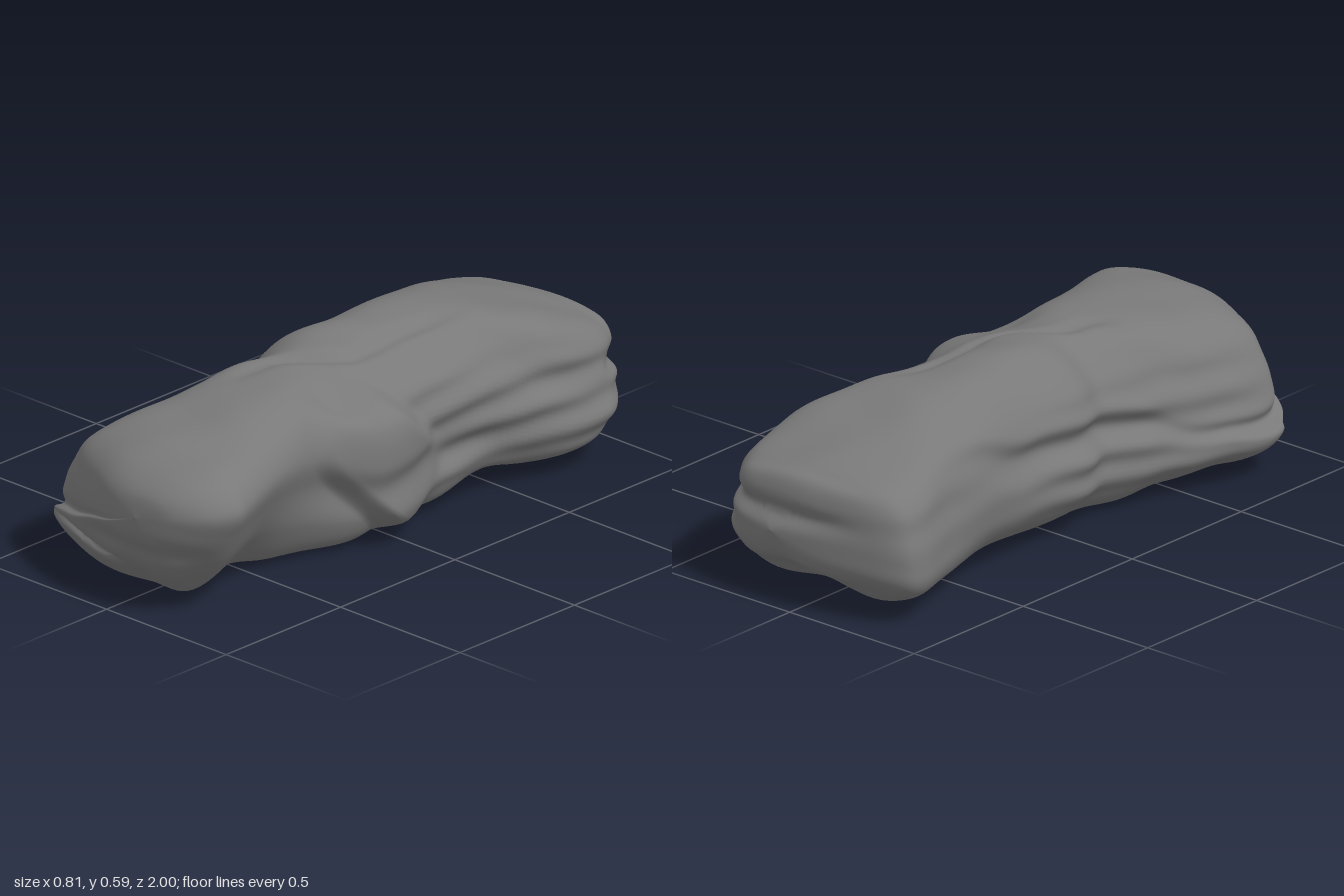
import * as THREE from 'three';

// Stations from front to back: z, lower x limit, upper x limit, bottom y, top y
const stations = [
  [1.0, 0.12, 0.12, 0.34, 0.34],
  [0.985, -0.02, 0.25, 0.24, 0.41],
  [0.93, -0.2, 0.35, 0.15, 0.46],
  [0.85, -0.37, 0.4, 0.07, 0.495],
  [0.77, -0.41, 0.385, 0.02, 0.515],
  [0.6, -0.385, 0.33, 0.03, 0.53],
  [0.43, -0.32, 0.285, 0.015, 0.565],
  [0.3, -0.3, 0.265, 0.01, 0.583],
  [0.16, -0.265, 0.28, 0.02, 0.568],
  [0.02, -0.305, 0.28, 0.04, 0.587],
  [-0.2, -0.295, 0.27, 0.04, 0.585],
  [-0.45, -0.325, 0.3, 0.05, 0.58],
  [-0.65, -0.35, 0.345, 0.04, 0.53],
  [-0.82, -0.39, 0.35, 0.05, 0.475],
  [-0.91, -0.34, 0.31, 0.11, 0.445],
  [-0.975, -0.12, 0.23, 0.16, 0.41],
  [-1.0, 0.08, 0.08, 0.25, 0.25],
];

// Cross-sections in unit space, counter-clockwise from the +x side
const sections = {
  front: [[1, .75], [.91, .93], [.72, 1], [.4, .98], [.2, .86], [.11, .65], [.06, .44], [.07, .34],
    [0, .25], [.1, .1], [.26, 0], [.5, 0], [.68, .03], [.85, .28], [.95, .53]],
  middle: [[1, .52], [.97, .75], [.8, .9], [.64, .97], [.38, 1], [.18, .9], [.03, .7], [.06, .55],
    [0, .36], [.06, .15], [.25, 0], [.55, 0], [.85, 0], [.97, .16], [.95, .36]],
  back: [[1, .4], [.96, .58], [.95, .78], [.85, .95], [.58, 1], [.32, .99], [.14, .92], [.05, .78],
    [.02, .58], [0, .34], [.04, .12], [.23, 0], [.5, .03], [.8, 0], [.96, .14]],
};

// Catmull-Rom through rows of any width
function spline(rows, t, closed) {
  const n = rows.length, i = Math.floor(t), f = t - i;
  const row = k => rows[closed ? (k + n) % n : THREE.MathUtils.clamp(k, 0, n - 1)];
  const [a, b, c, d] = [row(i - 1), row(i), row(i + 1), row(i + 2)];
  return b.map((p, k) => p + 0.5 * f * (c[k] - a[k] + f * (2 * a[k] - 5 * p + 4 * c[k] - d[k]
    + f * (3 * (p - c[k]) + d[k] - a[k]))));
}

const bell = (d, width) => Math.exp(-((d / width) ** 2));
const smooth = THREE.MathUtils.smoothstep;

// Ledges, cracks and the broken slab that shape the surface
function weather(p, u, v, width) {
  const { x, y, z } = p;
  const side = 2 * u - 1;
  const body = Math.min(1, width / 0.6);

  // Slab standing proud of the +x flank, highest along its middle
  const dz = z - 0.08, dy = y - 0.3;
  const along = (dz * 0.72 + dy * 0.69) / 0.3;
  const across = (dy * 0.72 - dz * 0.69) / 0.16;
  const r = Math.pow(along ** 4 + across ** 4, 0.25);
  const slab = (1 - smooth(r, 0.75, 1.15)) * smooth(side, 0.2, 0.8);
  p.x += 0.08 * slab * bell(z - 0.08, 0.22);

  // Layered strata: behind the slab on +x, in front of the middle on -x
  const zone = side > 0 ? 1 - smooth(z, -0.2, 0.1) : 0.15 + 0.85 * smooth(z, -0.3, 0.05) * (1 - smooth(z, 0.6, 0.85));
  const flank = side * Math.abs(side) * body * smooth(v, 0.05, 0.25) * (1 - smooth(v, 0.65, 0.9));
  p.x += 0.012 * flank * zone * (1 - slab) * Math.sin(y * 56 + z * 2 + Math.sin(z * 4 + side));

  // Crease and hollow on the top
  if (v > 0.6) {
    const path = 0.1 + 0.02 * Math.sin(z * 7) - 0.17 * smooth(z, 0, 0.25);
    const reach = smooth(z, -0.5, -0.25) * (1 - smooth(z, 0.25, 0.45));
    p.y -= 0.018 * bell(x - path, 0.03) * reach;
    p.y -= 0.03 * bell(x - 0.18, 0.06) * bell(z - 0.22, 0.07);
  }

  // Thin crack across the front end, soft brow above its underside
  const crack = 0.17 - 0.05 * smooth(x, -0.25, 0);
  p.z -= 0.025 * bell(y - crack, 0.014) * smooth(z, 0.75, 0.9) * (1 - smooth(x, -0.08, 0));
  p.z -= 0.015 * bell(y - 0.22, 0.04) * smooth(z, 0.8, 0.95) * smooth(x, -0.25, 0);

  // Undercut above the lip of the back end, fading towards -x
  p.z += 0.03 * bell(y - 0.31, 0.03) * smooth(-z, 0.8, 0.93) * smooth(x, -0.3, 0.1);

  // Gentle unevenness
  p.y += 0.005 * body * Math.sin(x * 17 + 2 * Math.sin(z * 6)) * Math.sin(z * 13 + x * 5);
  p.y = Math.max(0, p.y);
}

function rockGeometry(steps = 10, around = 120) {
  const rings = (stations.length - 1) * steps;
  const positions = [], index = [];
  const p = new THREE.Vector3();
  for (let i = 0; i <= rings; i++) {
    const [z, x0, x1, y0, y1] = spline(stations, i / steps, false);
    const front = smooth(z, 0.1, 0.6), back = smooth(-z, 0.2, 0.7);
    const section = sections.middle.map((m, k) => m.map((value, c) =>
      value * (1 - front - back) + sections.front[k][c] * front + sections.back[k][c] * back));
    for (let j = 0; j < around; j++) {
      const [u, v] = spline(section, (j / around) * section.length, true);
      p.set(x0 + (x1 - x0) * u, y0 + (y1 - y0) * v, z);
      weather(p, u, v, x1 - x0);
      positions.push(p.x, p.y, p.z);
      if (i < rings) {
        const next = (j + 1) % around;
        const a = i * around + j, b = i * around + next;
        index.push(a, a + around, b, b, a + around, b + around);
      }
    }
  }
  const geometry = new THREE.BufferGeometry();
  geometry.setAttribute('position', new THREE.Float32BufferAttribute(positions, 3));
  geometry.setIndex(index);
  geometry.computeVertexNormals();
  return geometry;
}

export function createModel() {
  const group = new THREE.Group();
  group.name = 'longRock';
  const rock = new THREE.Mesh(rockGeometry(), new THREE.MeshStandardMaterial({ color: 0x797979 }));
  rock.name = 'rock';
  group.add(rock);
  return group;
}
